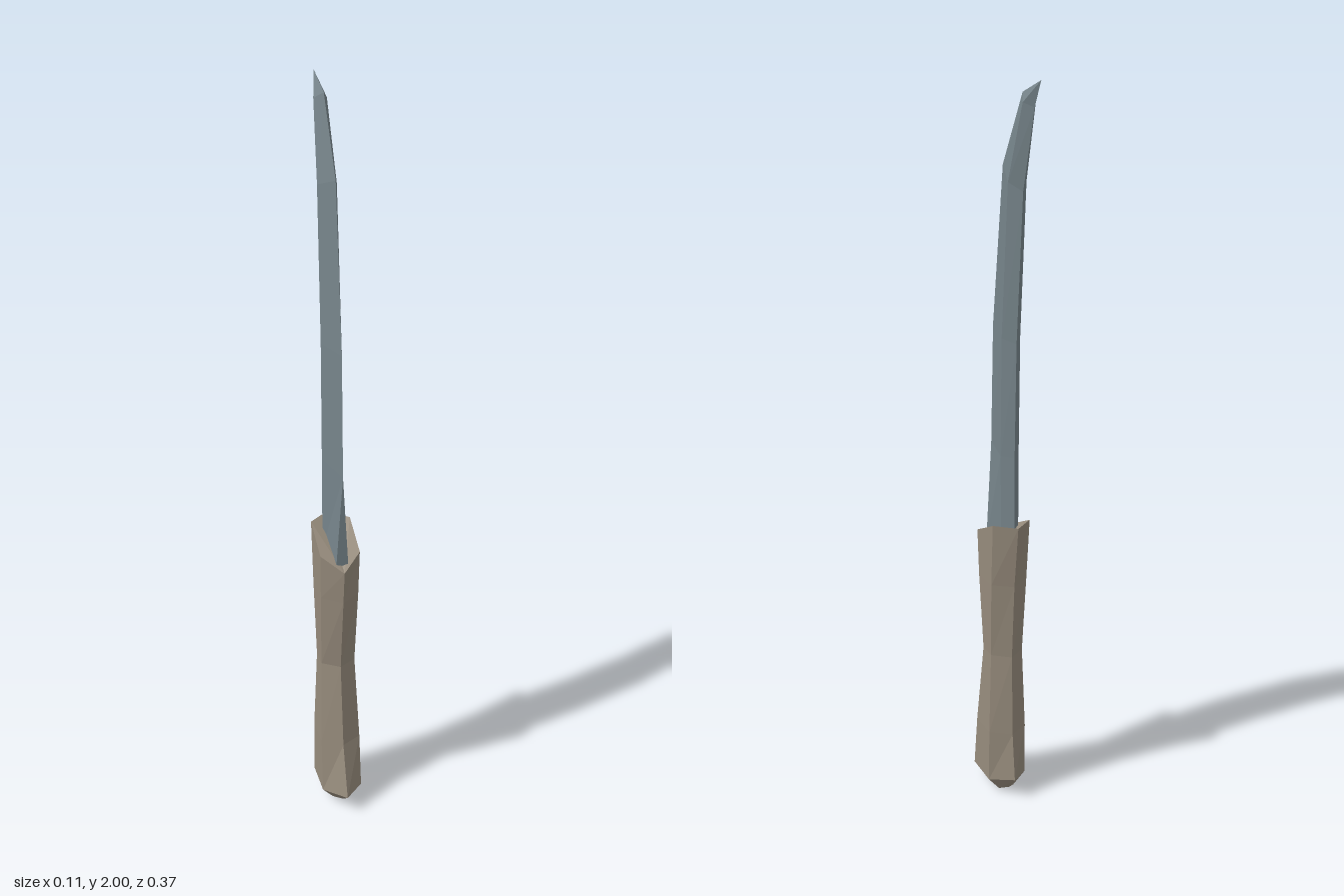
import * as THREE from 'three';

// Skins a stack of rings (each listed front -> +x -> back -> -x), with both ends capped.
function loft(rings) {
  const pos = [];
  const tri = (a, b, c) => pos.push(...a, ...b, ...c);
  const n = rings[0].length;
  for (let i = 0; i < rings.length - 1; i++) {
    for (let j = 0; j < n; j++) {
      const k = (j + 1) % n;
      tri(rings[i][j], rings[i][k], rings[i + 1][k]);
      tri(rings[i][j], rings[i + 1][k], rings[i + 1][j]);
    }
  }
  const low = rings[0], top = rings[rings.length - 1];
  for (let j = 1; j < n - 1; j++) {
    tri(low[0], low[j + 1], low[j]);
    tri(top[0], top[j], top[j + 1]);
  }
  const g = new THREE.BufferGeometry();
  g.setAttribute('position', new THREE.Float32BufferAttribute(pos, 3));
  g.computeVertexNormals();
  return g;
}

// Six-sided grip section: front edge, two side edges mirrored in x, back edge; each given as [z, y].
const gripRing = (x, f, sf, sb, b) => [
  [0, f[1], f[0]], [x, sf[1], sf[0]], [x, sb[1], sb[0]],
  [0, b[1], b[0]], [-x, sb[1], sb[0]], [-x, sf[1], sf[0]],
];

// Blade section: front edge of half width w, widest ridge at half width x, sharp back; each [z, y].
const bladeRing = (w, f, x, r, b) => [
  [-w, f[1], f[0]], [w, f[1], f[0]], [x, r[1], r[0]], [0, b[1], b[0]], [-x, r[1], r[0]],
];

export function createModel() {
  const group = new THREE.Group();
  const gripMat = new THREE.MeshStandardMaterial({ color: 0x968b7c, flatShading: true });
  gripMat.name = 'taupe grip';
  const steelMat = new THREE.MeshStandardMaterial({ color: 0x76848a, flatShading: true });
  steelMat.name = 'blue grey steel';

  // Handle: bevelled pommel, waisted grip, slanted collar
  const handle = new THREE.Mesh(loft([
    gripRing(0.022, [0.125, 0.006], [0.1, 0], [0.02, 0.004], [0, 0.014]),
    gripRing(0.056, [0.183, 0.053], [0.12, 0.045], [0.014, 0.045], [-0.042, 0.06]),
    gripRing(0.055, [0.133, 0.2], [0.1, 0.2], [0.012, 0.2], [-0.026, 0.2]),
    gripRing(0.047, [0.1, 0.44], [0.069, 0.44], [0.016, 0.44], [-0.021, 0.44]),
    gripRing(0.052, [0.127, 0.66], [0.085, 0.66], [0, 0.66], [-0.037, 0.66]),
    gripRing(0.054, [0.138, 0.757], [0.09, 0.79], [-0.016, 0.84], [-0.062, 0.84]),
  ]), gripMat);
  handle.name = 'handle';

  // Blade: blunt front at the base closing to a sharp edge, then curving back to the tip
  const tip = [-0.183, 2];
  const blade = new THREE.Mesh(loft([
    bladeRing(0.018, [0.113, 0.74], 0.025, [-0.005, 0.76], [-0.037, 0.78]),
    bladeRing(0, [0.117, 1.03], 0.026, [-0.005, 1.03], [-0.037, 1.03]),
    bladeRing(0, [0.102, 1.356], 0.026, [-0.013, 1.35], [-0.048, 1.34]),
    bladeRing(0, [0.037, 1.78], 0.025, [-0.05, 1.75], [-0.085, 1.73]),
    bladeRing(0, [-0.08, 1.965], 0.017, [-0.118, 1.945], [-0.148, 1.935]),
    bladeRing(0, tip, 0, tip, tip),
  ]), steelMat);
  blade.name = 'blade';

  group.add(handle, blade);
  return group;
}
